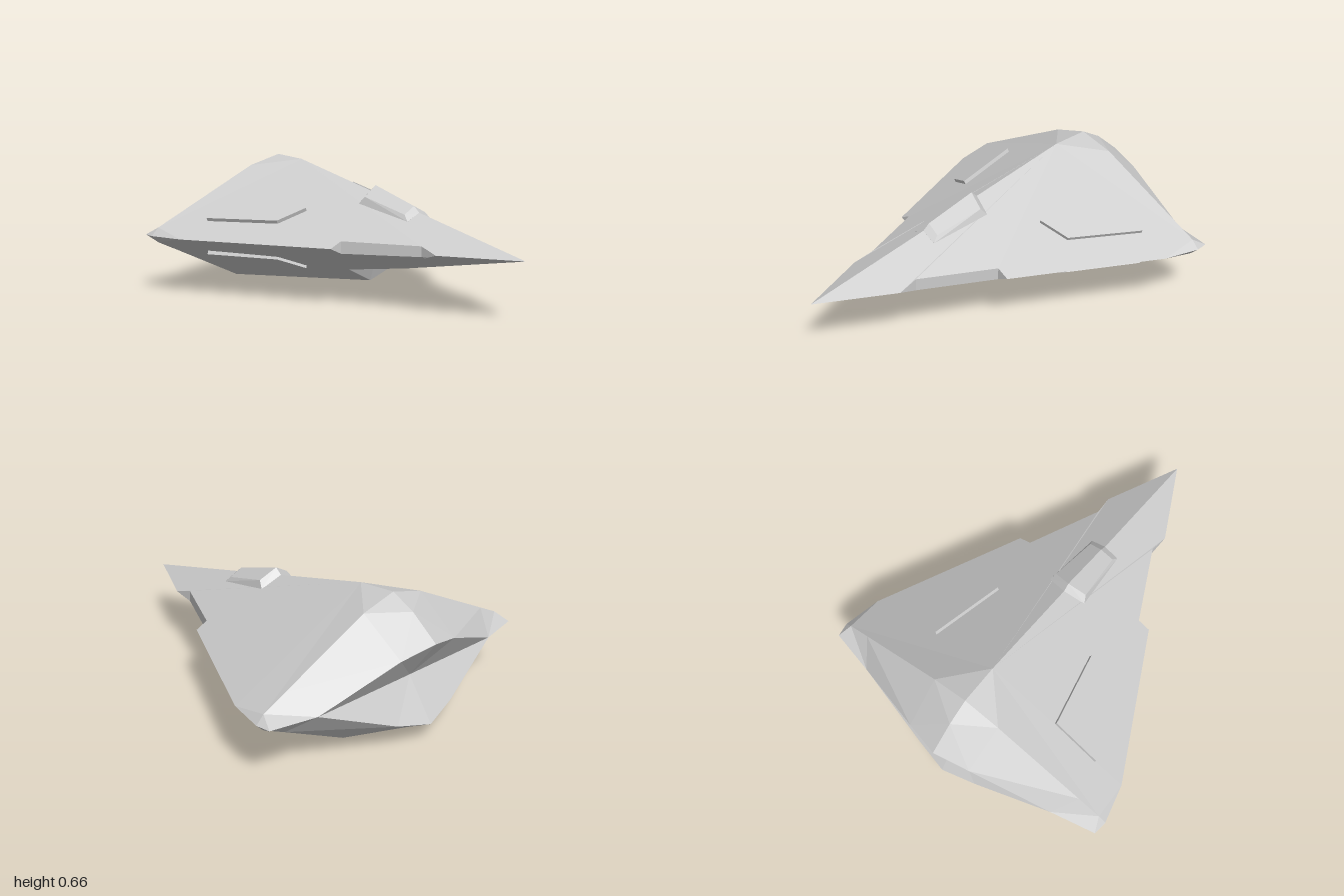
import * as THREE from 'three';
import { ConvexGeometry } from 'three/addons/geometries/ConvexGeometry.js';

const CORE = new THREE.Vector3(-0.3, 0.295, 0); // every hull face looks away from here
const WAIST = 0.295;

// Builds faces (corner lists) for both halves, turning each triangle outward
function mirroredFaces(faces) {
  const out = [];
  for (const side of [1, -1]) {
    for (const face of faces) {
      const p = face.map(([x, y, z]) => new THREE.Vector3(x, y, z * side));
      for (let i = 1; i < p.length - 1; i++) {
        let [a, b, c] = [p[0], p[i], p[i + 1]];
        const n = b.clone().sub(a).cross(c.clone().sub(a));
        const mid = a.clone().add(b).add(c).divideScalar(3).sub(CORE);
        if (n.dot(mid) < 0) [b, c] = [c, b];
        out.push(...a.toArray(), ...b.toArray(), ...c.toArray());
      }
    }
  }
  const geometry = new THREE.BufferGeometry();
  geometry.setAttribute('position', new THREE.Float32BufferAttribute(out, 3));
  geometry.computeVertexNormals();
  return geometry;
}

// Rear hull: chamfers, pointed lip and one side of the groove, from top or bottom points
function rearFaces({ c2, c3, c4, a1, a2, a3, r1 }, w) {
  return [
    [c2, c3, a1], [c3, c4, r1, a1], [r1, w.g1, a2, a1], [w.g1, w.s3, a3, a2],
    [w.s3, w.s2, a3], [w.s2, w.s1, a3], [w.g0, c4, r1, w.g1],
  ];
}

function hullGeometry() {
  const nose = [1, WAIST, 0];
  // waist edge and rear groove
  const w = {
    s1: [-0.55, WAIST, 0.775], s2: [-0.74, WAIST, 0.82], s3: [-0.81, WAIST, 0.81],
    g0: [-0.86, WAIST, 0], g1: [-0.86, WAIST, 0.58],
  };
  const top = {
    c2: [-0.74, 0.665, 0], c3: [-0.86, 0.605, 0], c4: [-1, 0.495, 0],
    a1: [-0.74, 0.615, 0.19], a2: [-0.74, 0.392, 0.66], a3: [-0.74, 0.335, 0.78],
    r1: [-0.96, 0.455, 0.18],
  };
  const low = {
    c2: [-0.74, 0.003, 0], c3: [-0.86, 0.02, 0], c4: [-1, 0.095, 0],
    a1: [-0.74, 0.03, 0.3], a2: [-0.74, 0.202, 0.66], a3: [-0.74, 0.258, 0.78],
    r1: [-0.96, 0.135, 0.18],
  };
  const ridge = [-0.54, 0.65, 0], keel = [0, 0.063, 0];
  // slot cut along the waist edge
  const e0 = [0.17, WAIST, 0.415], e3 = [0.63, WAIST, 0.185];
  const e1 = [0.17, 0.325, 0.35], e2 = [0.53, 0.325, 0.175];
  const f1 = [0.17, 0.265, 0.35], f2 = [0.53, 0.265, 0.175];
  // recess under the nose
  const lip = [0.04, 0.148, 0.18], lipFront = [0.36, 0.188, 0.1];
  const roof = [0.04, 0.172, 0], roofFront = [0.36, 0.2, 0];
  return mirroredFaces([
    [ridge, top.a1, top.a2, top.a3, w.s1, e0, e1, e2, e3, nose],
    [ridge, top.c2, top.a1],
    [lip, f1, e0, w.s1, low.a3, low.a2, low.a1, keel],
    [nose, f2, f1, lip, lipFront], [nose, e3, f2],
    [keel, low.c2, low.a1],
    [e0, e1, f1], [e1, e2, f2, f1], [e2, e3, f2],
    [keel, lip, roof], [roof, lip, lipFront, roofFront], [roofFront, lipFront, nose],
    ...rearFaces(top, w), ...rearFaces(low, w),
  ]);
}

// Thin raised plate lying on one of the four sloping hull sides
function plateGeometry(up, side) {
  const outline = [[-0.55, 0.61], [-0.54, 0.365], [-0.16, 0.285], [-0.21, 0.43]];
  const normal = new THREE.Vector3(0.21, up * 0.89, side * 0.41).normalize();
  const points = [];
  for (const [x, z] of outline) {
    const rise = 0.232 * (1 - x) - 0.464 * z; // height of the hull side above the waist
    const base = new THREE.Vector3(x, WAIST + up * rise, side * z);
    for (const lift of [-0.015, 0.018]) points.push(base.clone().addScaledVector(normal, lift));
  }
  return new ConvexGeometry(points);
}

// Canopy: tapered cap straddling the top ridge
function canopyGeometry() {
  const half = [
    [0.03, 0.47, 0.107], [0.345, 0.41, 0.08],
    [0.06, 0.505, 0.092], [0.315, 0.44, 0.07],
  ];
  const points = [[0, 0.52, 0], [0.345, 0.446, 0], [0.04, 0.555, 0], [0.31, 0.475, 0]];
  for (const [x, y, z] of half) points.push([x, y, z], [x, y, -z]);
  return new ConvexGeometry(points.map((p) => new THREE.Vector3(...p)));
}

export function createModel() {
  const model = new THREE.Group();
  model.name = 'spacecraft';
  const material = new THREE.MeshStandardMaterial({ color: 0xcccccc, flatShading: true });
  const add = (name, geometry) => {
    const mesh = new THREE.Mesh(geometry, material);
    mesh.name = name;
    model.add(mesh);
  };

  add('hull', hullGeometry());
  add('canopy', canopyGeometry());
  for (const up of [1, -1]) {
    for (const side of [1, -1]) {
      add(`${up > 0 ? 'upper' : 'lower'}${side > 0 ? 'Front' : 'Back'}Plate`, plateGeometry(up, side));
    }
  }
  return model;
}
